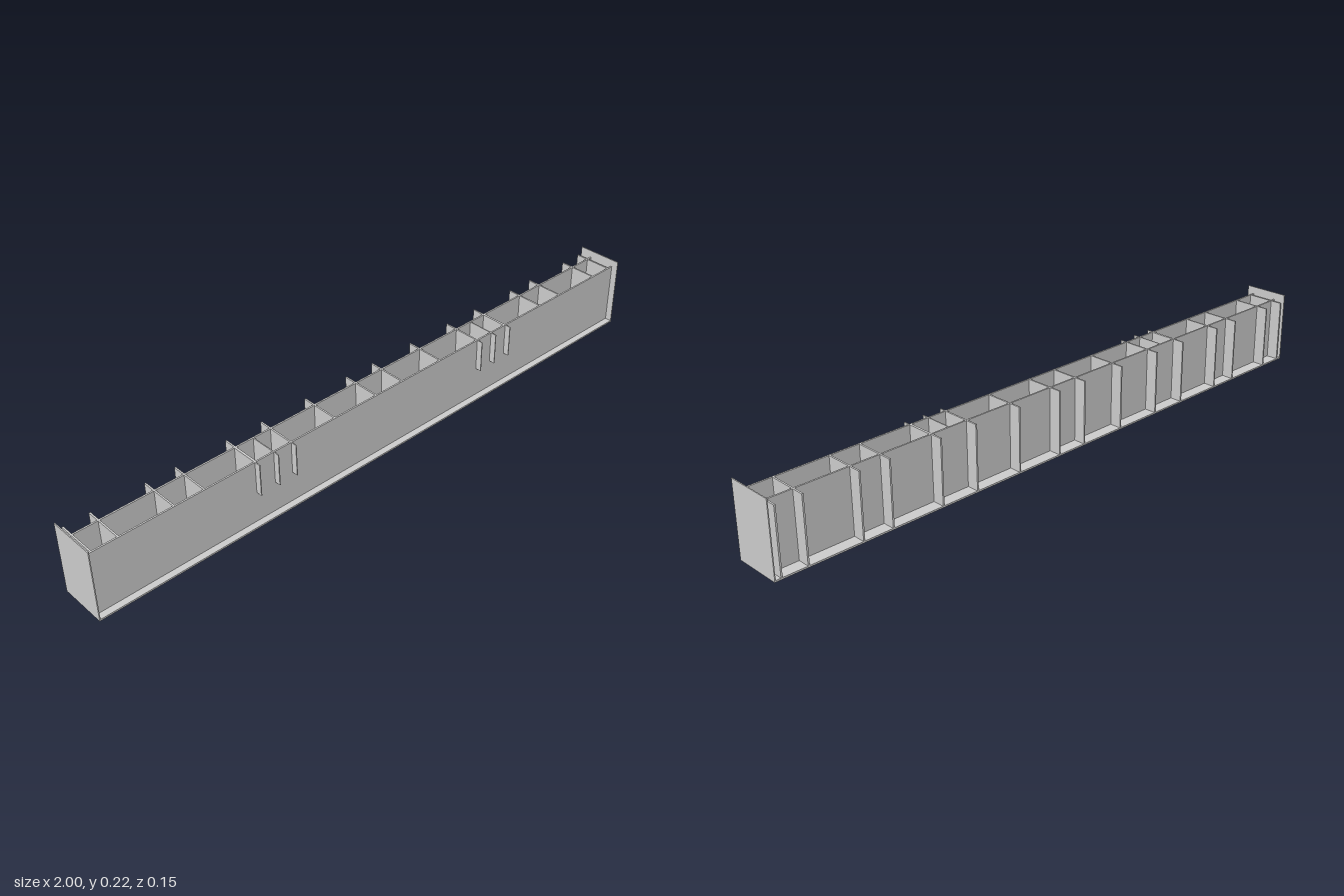
import * as THREE from 'three';

const material = new THREE.MeshStandardMaterial({ color: 0xcccccc, flatShading: true });

// Box given by its min/max corner on each axis
function slab(name, [x0, x1], [y0, y1], [z0, z1]) {
  const mesh = new THREE.Mesh(new THREE.BoxGeometry(x1 - x0, y1 - y0, z1 - z0), material);
  mesh.name = name;
  mesh.position.set((x0 + x1) / 2, (y0 + y1) / 2, (z0 + z1) / 2);
  return mesh;
}

const around = (c, t) => [c - t / 2, c + t / 2];

export function createModel() {
  const model = new THREE.Group();
  model.name = 'ribbedTrough';

  const depth = 0.073, wallTop = 0.2, plate = 0.005;
  const frontZ = 0.05, backZ = -0.034;

  // Floor and the two long walls
  model.add(slab('basePlate', [-1, 1], [0, plate], [-depth, depth]));
  model.add(slab('frontWall', [-0.997, 0.997], [plate, wallTop], around(frontZ, plate)));
  model.add(slab('backWall', [-0.997, 0.997], [plate, wallTop], around(backZ, plate)));

  for (const side of [1, -1]) {
    // Taller plate closing each end
    const end = side > 0 ? [0.997, 1] : [-1, -0.997];
    model.add(slab(side > 0 ? 'leftEndPlate' : 'rightEndPlate', end, [plate, 0.223], [-depth, depth]));

    // Ribs crossing the trough and standing out behind the back wall
    for (const x of [0.05, 0.204, 0.36, 0.48, 0.645, 0.738, 0.903, 0.98]) {
      model.add(slab('rib', around(side * x, plate), [plate, wallTop], [-depth, frontZ]));
    }

    // Thin half-height fins standing out in front of the front wall
    for (const x of [0.36, 0.42, 0.483]) {
      model.add(slab('frontFin', around(side * x, 0.003), [0.1, wallTop], [backZ, 0.071]));
    }
  }
  return model;
}
